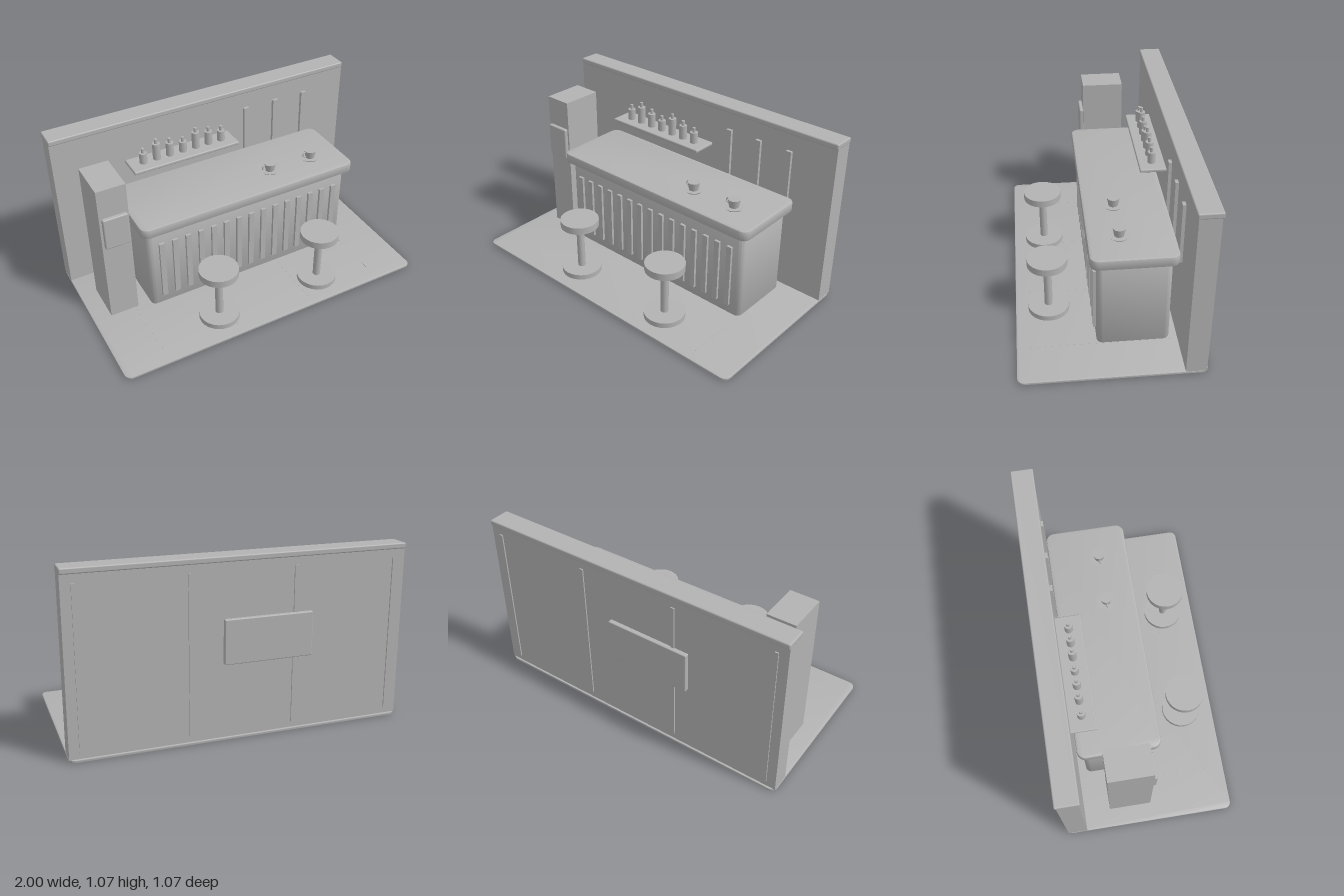
import * as THREE from 'three';
import { toCreasedNormals } from 'three/addons/utils/BufferGeometryUtils.js';
import { RoundedBoxGeometry } from 'three/addons/geometries/RoundedBoxGeometry.js';

export function createModel() {
  const model = new THREE.Group();
  model.name = 'barCounterSet';
  const grey = new THREE.MeshStandardMaterial({ color: 0xb2b2b2 });
  grey.name = 'plain grey';

  function add(name, geometry, x = 0, y = 0, z = 0, parent = model) {
    const mesh = new THREE.Mesh(geometry, grey);
    mesh.name = name;
    mesh.position.set(x, y, z);
    parent.add(mesh);
    return mesh;
  }

  // Box given by its limits on each axis; radius rounds the edges
  function box(name, [x0, x1], [y0, y1], [z0, z1], radius = 0) {
    const size = [x1 - x0, y1 - y0, z1 - z0];
    const geometry = radius
      ? new RoundedBoxGeometry(...size, 2, radius)
      : new THREE.BoxGeometry(...size);
    return add(name, geometry, (x0 + x1) / 2, (y0 + y1) / 2, (z0 + z1) / 2);
  }

  // Block with large rounded vertical corners and a small bevel above and below
  function slab(name, [x0, x1], [y0, y1], [z0, z1], corner, bevel) {
    const w = (x1 - x0) / 2 - bevel, d = (z1 - z0) / 2 - bevel, r = corner - bevel;
    const shape = new THREE.Shape();
    shape.absarc(w - r, d - r, r, 0, Math.PI / 2);
    shape.absarc(-w + r, d - r, r, Math.PI / 2, Math.PI);
    shape.absarc(-w + r, -d + r, r, Math.PI, Math.PI * 1.5);
    shape.absarc(w - r, -d + r, r, Math.PI * 1.5, Math.PI * 2);
    const geometry = new THREE.ExtrudeGeometry(shape, {
      depth: y1 - y0 - bevel * 2, bevelThickness: bevel, bevelSize: bevel,
      bevelSegments: 2, curveSegments: 6,
    });
    geometry.rotateX(-Math.PI / 2);
    add(name, toCreasedNormals(geometry, 0.6), (x0 + x1) / 2, y0 + bevel, (z0 + z1) / 2);
  }

  function cylinder(name, rTop, rBottom, y0, y1, parent, segments = 24) {
    return add(name, new THREE.CylinderGeometry(rTop, rBottom, y1 - y0, segments), 0, (y0 + y1) / 2, 0, parent);
  }

  function group(name, x, y, z) {
    const g = new THREE.Group();
    g.name = name;
    g.position.set(x, y, z);
    model.add(g);
    return g;
  }

  // Floor with fine plank seams
  slab('floor', [-1, 1], [0, 0.016], [-0.52, 0.535], 0.04, 0.004);
  for (const x of [-0.73, -0.25, 0.25, 0.73]) {
    box('floorSeam', [x - 0.002, x + 0.002], [0.012, 0.0165], [-0.38, 0.46]);
  }

  // Back wall, its cap, and the trim on its rear
  box('wall', [-0.998, 0.998], [0.015, 1.04], [-0.508, -0.39]);
  box('wallCap', [-1, 1], [1.034, 1.068], [-0.518, -0.383], 0.008);
  for (const x of [-0.93, -0.31, 0.31, 0.93]) {
    box('rearBatten', [x - 0.011, x + 0.011], [0.053, 0.987], [-0.516, -0.5]);
  }
  box('rearPanel', [-0.41, 0.12], [0.457, 0.718], [-0.535, -0.505], 0.006);
  for (const x of [0.275, 0.487, 0.7]) {
    box('wallStrip', [x - 0.018, x + 0.018], [0.557, 0.932], [-0.395, -0.371]);
  }

  // Side column with a raised plate
  box('column', [-0.89, -0.713], [0.018, 0.946], [-0.229, 0.03]);
  box('columnPlate', [-0.876, -0.724], [0.552, 0.76], [0.025, 0.054], 0.008);

  // Counter
  slab('counterBody', [-0.635, 0.739], [0.022, 0.581], [-0.341, 0.076], 0.035, 0.008);
  slab('counterTop', [-0.676, 0.78], [0.58, 0.644], [-0.373, 0.117], 0.05, 0.01);
  for (let i = 0; i < 15; i++) {
    const x = -0.551 + i * 0.0861;
    box('counterSlat', [x - 0.017, x + 0.017], [0.088, 0.491], [0.07, 0.092]);
  }

  // Bottle shelf
  box('shelf', [-0.558, 0.144], [0.78, 0.801], [-0.392, -0.234], 0.007);
  for (let i = 0; i < 7; i++) {
    const bottle = group('bottle', -0.468 + i * 0.0874, 0.8, -0.313);
    const height = [0.07, 0.109, 0.089][i % 3];
    cylinder('bottleBody', 0.024, 0.024, 0, height, bottle, 16);
    cylinder('bottleNeck', 0.01, 0.01, height, height + 0.03, bottle, 12);
  }

  // Cups on saucers
  for (const x of [0.267, 0.564]) {
    const cup = group('cup', x, 0.644, -0.063);
    cylinder('saucer', 0.058, 0.05, 0, 0.009, cup);
    cylinder('cupBowl', 0.037, 0.028, 0.008, 0.059, cup);
    add('cupHandle', new THREE.TorusGeometry(0.015, 0.004, 8, 16), -0.038, 0.036, 0, cup);
  }

  // Stools
  for (const x of [-0.31, 0.393]) {
    const stool = group('stool', x, 0, 0.336);
    cylinder('stoolBase', 0.124, 0.124, 0.016, 0.049, stool);
    cylinder('stoolPole', 0.024, 0.024, 0.045, 0.35, stool, 16);
    cylinder('stoolSeat', 0.119, 0.119, 0.348, 0.393, stool);
  }

  return model;
}
